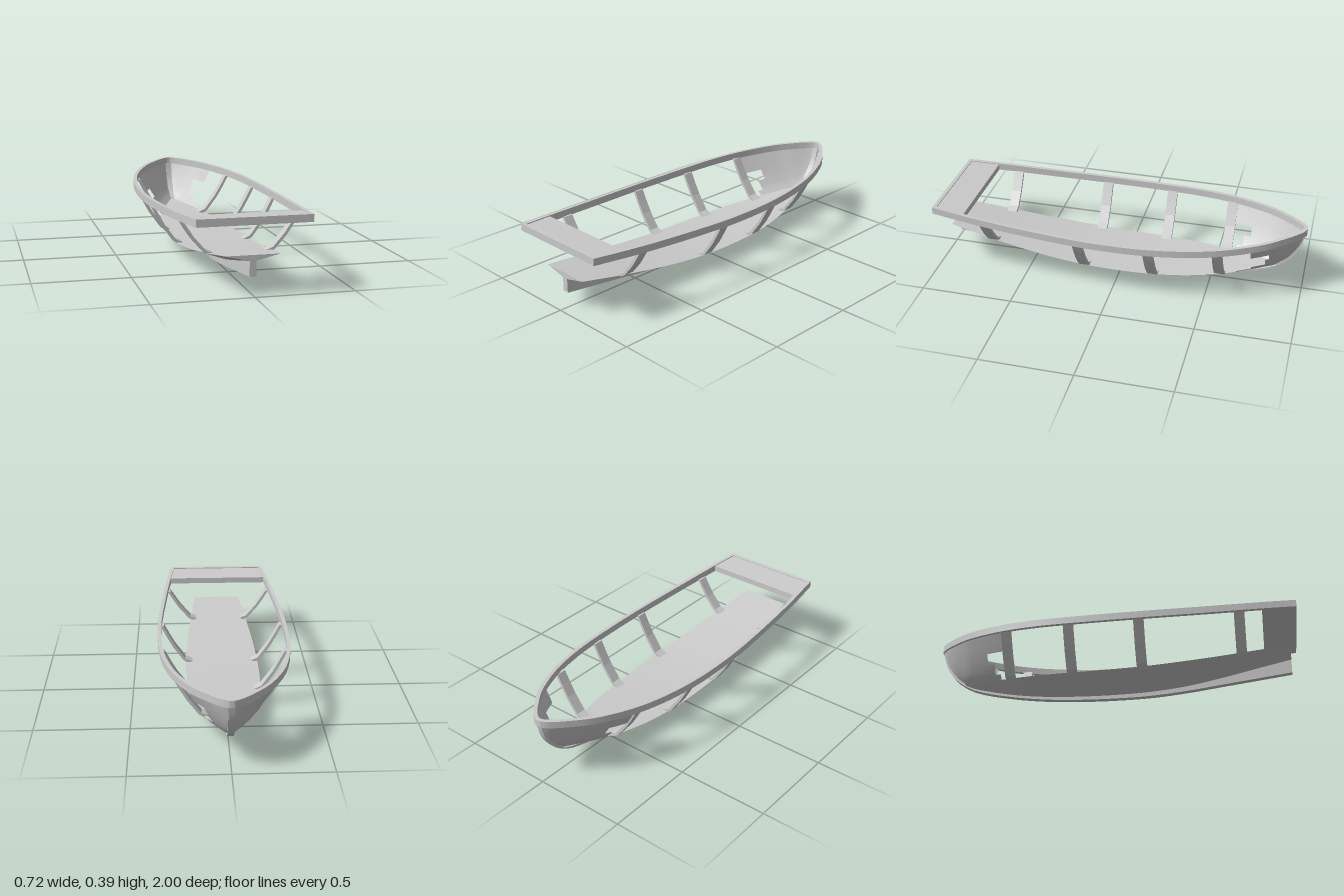
import * as THREE from 'three';
import { toCreasedNormals } from 'three/addons/utils/BufferGeometryUtils.js';

const material = new THREE.MeshStandardMaterial({ color: 0xcccccc, side: THREE.DoubleSide });

// Smooth interpolation through [z, value] pairs ordered by rising z
function profile(pts) {
  const slope = (i) => {
    const a = pts[Math.max(i - 1, 0)], b = pts[Math.min(i + 1, pts.length - 1)];
    return (b[1] - a[1]) / (b[0] - a[0]);
  };
  return (z) => {
    let i = 0;
    while (i < pts.length - 2 && z > pts[i + 1][0]) i++;
    const [z0, v0] = pts[i], [z1, v1] = pts[i + 1], h = z1 - z0;
    const t = THREE.MathUtils.clamp((z - z0) / h, 0, 1), t2 = t * t, t3 = t2 * t;
    return v0 * (2 * t3 - 3 * t2 + 1) + v1 * (3 * t2 - 2 * t3)
      + h * (slope(i) * (t3 - 2 * t2 + t) + slope(i + 1) * (t3 - t2));
  };
}

// Lines of the boat: bow at -z, stern at +z
const railPoints = [[-1, 0.012], [-0.985, 0.04], [-0.95, 0.078], [-0.9, 0.12], [-0.8, 0.192], [-0.6, 0.28],
  [-0.4, 0.328], [-0.2, 0.351], [0, 0.358], [0.2, 0.355], [0.6, 0.328], [0.8, 0.309], [1, 0.284]];
const railX = profile(railPoints);
const sheer = profile([[-1, 0.385], [-0.6, 0.36], [-0.2, 0.345], [0, 0.344], [0.2, 0.347], [0.6, 0.362], [1, 0.385]]);
const keelY = profile([[-1, 0.385], [-0.98, 0.29], [-0.95, 0.225], [-0.9, 0.163], [-0.8, 0.1], [-0.6, 0.05],
  [-0.4, 0.02], [-0.2, 0.005], [0, 0], [0.2, 0.003], [0.4, 0.02], [0.6, 0.045], [0.96, 0.09]]);
const hullY = profile([[-0.87, 0.139], [-0.8, 0.108], [-0.6, 0.06], [-0.4, 0.033], [-0.2, 0.021], [0, 0.018],
  [0.2, 0.024], [0.4, 0.045], [0.6, 0.083], [0.8, 0.128], [0.96, 0.163]]);
const floorX = profile([[-0.87, 0], [-0.8, 0.037], [-0.6, 0.118], [-0.4, 0.17], [-0.2, 0.195], [0, 0.203],
  [0.2, 0.202], [0.4, 0.193], [0.6, 0.177], [0.8, 0.157], [0.96, 0.136]]);
const floorY = profile([[-0.87, 0.142], [-0.8, 0.133], [-0.6, 0.11], [-0.4, 0.097], [-0.2, 0.09], [0, 0.09],
  [0.2, 0.097], [0.4, 0.115], [0.6, 0.14], [0.96, 0.195]]);
const RAIL_H = 0.038, RAIL_W = 0.02, STEM_Z = -0.87;

// Point on the side of the hull: t = 0 at the floor edge, 1 under the rail
function sidePoint(z, t) {
  const x0 = z > STEM_Z ? floorX(z) : 0;
  const y0 = z > STEM_Z ? floorY(z) : keelY(z) + 0.006;
  const x1 = Math.max(railX(z) - 0.014, 0.003), y1 = Math.max(sheer(z) - RAIL_H + 0.004, y0);
  return [x0 + (x1 - x0) * Math.pow(t, 0.75), y0 + (y1 - y0) * t];
}

// Grid surface over rows of points; keep(row, column) can leave cells out
function loft(rows, keep = () => true) {
  const n = rows[0].length, index = [];
  for (let i = 0; i < rows.length - 1; i++) for (let j = 0; j < n - 1; j++) {
    if (!keep(i, j)) continue;
    const a = i * n + j, b = a + n;
    index.push(a, b, a + 1, b, b + 1, a + 1);
  }
  const geo = new THREE.BufferGeometry();
  geo.setAttribute('position', new THREE.Float32BufferAttribute(rows.flat(2), 3));
  geo.setIndex(index);
  geo.computeVertexNormals();
  return geo;
}

const range = (a, b, n) => Array.from({ length: n + 1 }, (_, i) => a + (b - a) * i / n);

export function createModel() {
  const boat = new THREE.Group();
  boat.name = 'boatWreck';
  const add = (name, geo) => {
    const mesh = new THREE.Mesh(geo, material);
    mesh.name = name;
    boat.add(mesh);
    return mesh;
  };

  // V-shaped bottom closed by a flat floor
  const bottom = range(0.96, STEM_Z, 48).map((z) => {
    const x = floorX(z), y = floorY(z);
    return [[-x, y, z], [0, hullY(z), z], [x, y, z], [0, y, z], [-x, y, z]];
  });
  add('hullBottom', toCreasedNormals(loft(bottom), 0.3));
  const end = new THREE.Shape([[-floorX(0.96), floorY(0.96)], [0, hullY(0.96)], [floorX(0.96), floorY(0.96)]]
    .map((p) => new THREE.Vector2(...p)));
  add('sternEnd', new THREE.ShapeGeometry(end)).position.z = 0.96;

  // Keel, skeg and curved stem
  const keelZ = [...range(0.96, -0.85, 36), ...range(-0.87, -0.995, 14)];
  const lower = keelZ.map((z) => new THREE.Vector2(-z, keelY(z)));
  const upper = keelZ.map((z) => (z > STEM_Z
    ? new THREE.Vector2(-z, hullY(z) + 0.003)
    : new THREE.Vector2(-z - 0.012, Math.min(keelY(z) + 0.008, 0.375)))).reverse();
  const keel = new THREE.ExtrudeGeometry(new THREE.Shape([...lower, ...upper]), { depth: 0.033, bevelEnabled: false });
  keel.translate(0, 0, -0.0165).rotateY(Math.PI / 2);
  add('keel', toCreasedNormals(keel, 0.5));

  // Bow planking, broken off in steps that differ on each side
  const levels = [0, 0.1, 0.2, 0.33, 0.45, 0.57, 0.65, 0.82, 1];
  const stations = [-0.59, -0.62, -0.65, -0.69, -0.73, -0.77, -0.8, -0.82, -0.845, -0.87, -0.89, -0.91, -0.93,
    -0.95, -0.965, -0.98, -0.99, -0.997];
  const breaks = {
    left: [-0.65, -0.73, -0.8, -0.8, -0.82, -0.82, -0.73, -0.73],
    right: [-0.62, -0.65, -0.65, -0.69, -0.69, -0.59, -0.59, -0.59],
  };
  for (const [side, s] of [['left', 1], ['right', -1]]) {
    const rows = stations.map((z) => levels.map((t) => {
      const [x, y] = sidePoint(z, t);
      return [s * x, y, z];
    }));
    add(side + 'BowPlanking', loft(rows, (i, j) => stations[i] <= breaks[side][j] + 1e-6));
  }

  // Ribs: bent bars from the floor to the rail
  for (const z of [-0.565, -0.21, 0.17, 0.7]) {
    const x = floorX(z), y = floorY(z);
    const outer = [[x - 0.015, y - 0.008], ...[0.05, 0.43, 0.72, 1].map((t) => sidePoint(z, t))];
    const inner = [[x - 0.035, y + 0.003], ...outer.slice(1).map(([a, b], i) =>
      (i === 3 ? [a - 0.016, b] : [a - 0.012, b + 0.009]))];
    const shape = new THREE.Shape([...outer, ...inner.reverse()].map((p) => new THREE.Vector2(...p)));
    const geo = new THREE.ExtrudeGeometry(shape, { depth: 0.055, bevelEnabled: false });
    geo.translate(0, 0, z - 0.0275);
    add('leftRib', geo);
    add('rightRib', geo.clone().rotateY(Math.PI).scale(1, 1, -1).translate(0, 0, 0)).geometry = mirrorX(geo);
  }

  // Rail: rectangular section swept around the bow from stern to stern
  const half = railPoints.map(([z, x]) => new THREE.Vector3(x, 0, z)).reverse();
  const path = new THREE.CatmullRomCurve3([...half, new THREE.Vector3(0, 0, -1),
    ...half.slice().reverse().map((p) => new THREE.Vector3(-p.x, 0, p.z))]);
  const rail = range(0, 1, 110).map((u) => {
    const p = path.getPoint(u), d = path.getTangent(u);
    const ix = p.x + d.z * RAIL_W, iz = p.z - d.x * RAIL_W;
    const top = sheer(p.z), low = top - RAIL_H;
    return [[p.x, top, p.z], [p.x, low, p.z], [ix, low, iz], [ix, top, iz], [p.x, top, p.z]];
  });
  add('rail', toCreasedNormals(loft(rail), 0.6));

  // Stern deck, set slightly below the rail, and the rail across the stern
  const slab = (name, z0, z1, drop) => {
    const a = railX(z0) - 0.006, b = railX(z1) - 0.001;
    const shape = new THREE.Shape([[-a, z0], [a, z0], [b, z1], [-b, z1]].map((p) => new THREE.Vector2(...p)));
    const geo = new THREE.ExtrudeGeometry(shape, { depth: RAIL_H - drop, bevelEnabled: false });
    geo.rotateX(Math.PI / 2);
    const pos = geo.attributes.position;
    for (let i = 0; i < pos.count; i++) pos.setY(i, pos.getY(i) + sheer(pos.getZ(i)) - drop);
    geo.computeVertexNormals();
    add(name, geo);
  };
  slab('sternDeck', 0.82, 0.985, 0.005);
  slab('sternRail', 0.98, 1, 0);
  return boat;
}

// Mirrored copy across x = 0 with the corner order put right
function mirrorX(geo) {
  const copy = geo.clone().scale(-1, 1, 1), pos = copy.attributes.position;
  for (let i = 0; i < pos.count; i += 3) {
    const b = new THREE.Vector3().fromBufferAttribute(pos, i + 1), c = new THREE.Vector3().fromBufferAttribute(pos, i + 2);
    pos.setXYZ(i + 1, c.x, c.y, c.z);
    pos.setXYZ(i + 2, b.x, b.y, b.z);
  }
  copy.computeVertexNormals();
  return copy;
}
